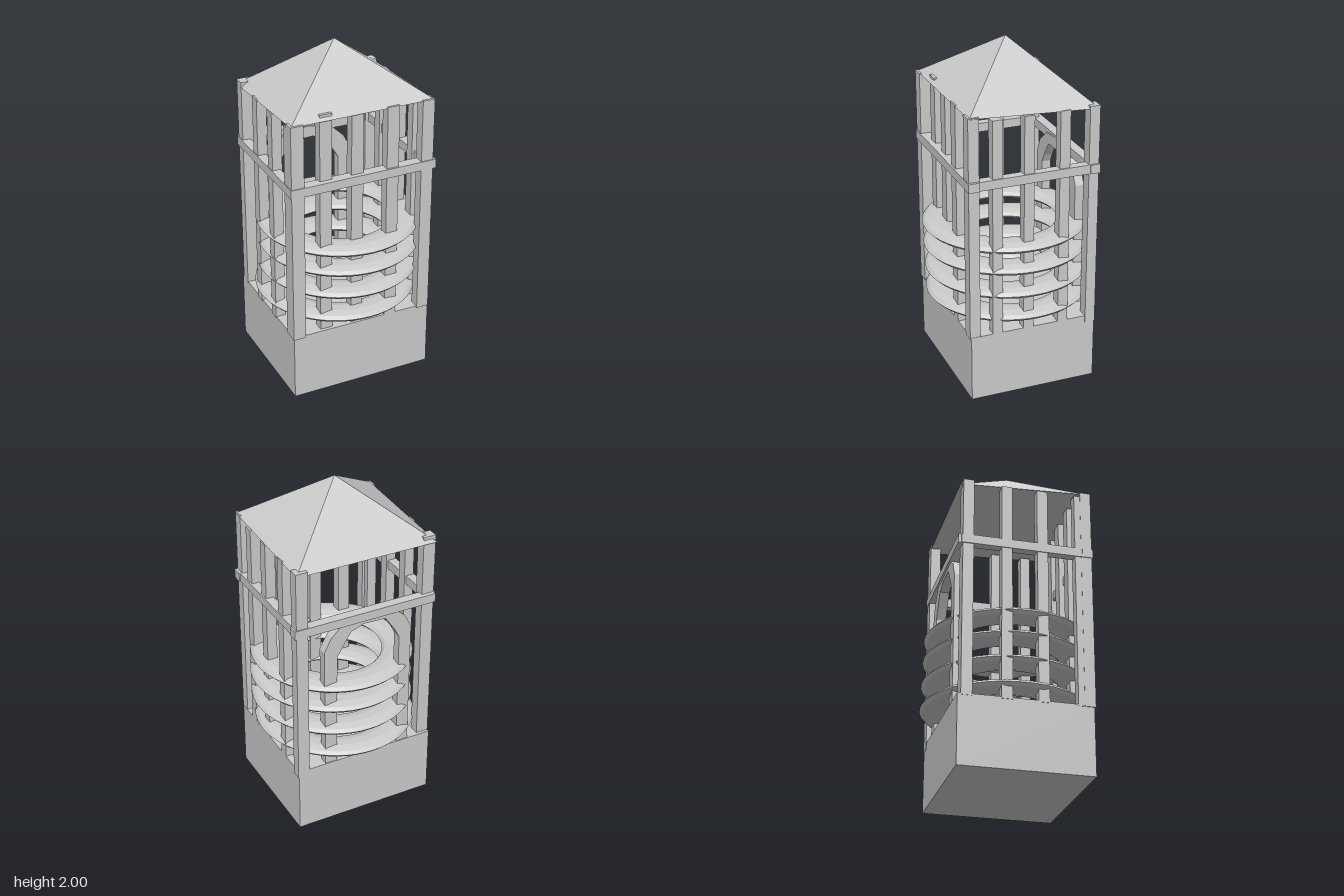
import * as THREE from 'three';

const material = new THREE.MeshStandardMaterial({ color: 0xcccccc, flatShading: true, side: THREE.DoubleSide });

export function createModel() {
  const model = new THREE.Group();

  const add = (name, geometry) => {
    const mesh = new THREE.Mesh(geometry, material);
    mesh.name = name;
    model.add(mesh);
    return mesh;
  };

  // Box given by its extents on each axis
  const block = (name, [x0, x1], [y0, y1], [z0, z1]) =>
    add(name, new THREE.BoxGeometry(x1 - x0, y1 - y0, z1 - z0))
      .position.set((x0 + x1) / 2, (y0 + y1) / 2, (z0 + z1) / 2);

  // Solid plinth
  block('base', [-0.445, 0.41], [0, 0.4], [-0.38, 0.375]);

  // Corner posts
  block('frontLeftPost', [0.335, 0.408], [0.39, 1.71], [0.32, 0.382]);
  block('frontRightPost', [-0.45, -0.375], [0.39, 1.71], [0.32, 0.382]);
  block('backLeftPost', [0.345, 0.415], [0.36, 1.685], [-0.382, -0.322]);
  block('backRightPost', [-0.447, -0.372], [0.39, 1.7], [-0.362, -0.3]);

  // Slats on the front: x centre, top, front z
  for (const [x, top, z] of [[-0.235, 1.735, 0.355], [-0.048, 1.7, 0.36], [0.16, 1.712, 0.376]])
    block('frontSlat', [x - 0.036, x + 0.036], [0.39, top], [z - 0.06, z]);

  // Slats on both sides
  for (const z of [0.215, 0.03, -0.18])
    block('leftSlat', [0.35, 0.41], [0.39, 1.68], [z - 0.03, z + 0.03]);
  for (const z of [0.315, 0.095, -0.11])
    block('rightSlat', [-0.448, -0.39], [0.39, 1.685], [z - 0.031, z + 0.031]);

  // Rails around the frame
  const railY = [1.292, 1.345];
  block('frontRail', [-0.455, 0.425], railY, [0.325, 0.387]);
  block('backRail', [-0.445, 0.425], railY, [-0.387, -0.33]);
  block('leftRail', [0.365, 0.418], railY, [-0.385, 0.38]);
  block('rightRail', [-0.453, -0.4], railY, [-0.37, 0.38]);

  // Arched doorway at the back
  const arch = new THREE.Shape([
    [-0.3, 0.39], [-0.3, 1.17], [-0.26, 1.25], [-0.17, 1.325], [-0.03, 1.34], [0.11, 1.32],
    [0.2, 1.235], [0.245, 1.15], [0.238, 0.39], [0.165, 0.39], [0.165, 1.1], [0.13, 1.16],
    [0.08, 1.24], [0, 1.27], [-0.135, 1.265], [-0.2, 1.17], [-0.225, 1.12], [-0.225, 0.39],
  ].map(([x, y]) => new THREE.Vector2(x, y)));
  add('backArch', new THREE.ExtrudeGeometry(arch, { depth: 0.055, bevelEnabled: false }))
    .position.z = -0.375;

  // Stacked flattened rings: centre x, y, z
  for (const [x, y, z] of [[0, 0.912, 0.01], [0.007, 0.782, 0.007], [0.005, 0.635, 0], [-0.01, 0.482, -0.008]]) {
    const ring = new THREE.TorusGeometry(0.385, 0.09, 10, 56);
    ring.rotateX(Math.PI / 2).scale(0.985, 0.34, 1.01);
    add('ring', ring).position.set(x, y, z);
  }

  // Pyramid roof, its eaves dropping a little towards the back
  const roof = new THREE.ConeGeometry(Math.SQRT1_2, 1, 4, 1).rotateY(Math.PI / 4);
  const p = roof.attributes.position;
  for (let i = 0; i < p.count; i++) {
    const x = p.getX(i), z = p.getZ(i);
    if (p.getY(i) > 0) p.setXYZ(i, -0.015, 2, 0);
    else p.setXYZ(i, -0.018 + x * 0.855, 1.685 + z * 0.04, -0.003 + z * 0.755);
  }
  roof.computeVertexNormals();
  add('roof', roof);

  return model;
}
